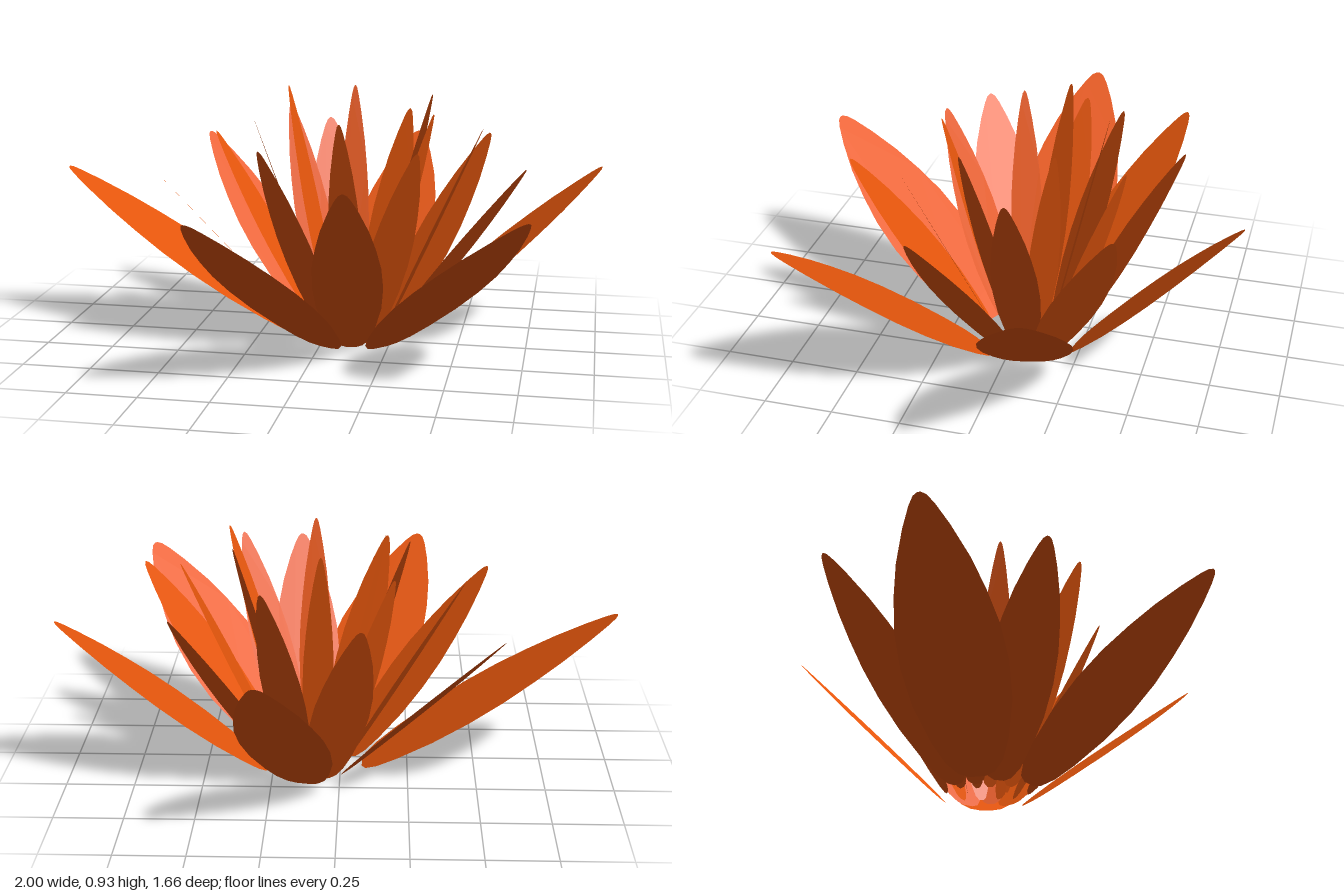
import * as THREE from 'three';

// Petal outline: [fraction of length, fraction of half width]
const OUTLINE = [
  [0, 0.15], [0.015, 0.35], [0.06, 0.55], [0.14, 0.73], [0.28, 0.93], [0.42, 1],
  [0.55, 0.96], [0.67, 0.83], [0.78, 0.66], [0.89, 0.42], [0.96, 0.23], [0.99, 0.12], [1, 0.03],
];

// Shared axis of the rings, slightly off the origin
const CENTRE = new THREE.Vector3(0.1, 0, -0.045);

// Rings from outside in; each petal is [tip x, tip y, tip z, half width]
const RINGS = [
  { name: 'outerPetal', radius: 0.18, petals: [
    [1, 0.64, -0.25, 0.165], [0.77, 0.63, 0.66, 0.185], [-0.3, 0.62, 0.83, 0.185],
    [-1, 0.61, -0.05, 0.187], [0.25, 0.65, -0.83, 0.162]] },
  { name: 'middlePetal', radius: 0.145, petals: [
    [0.57, 0.72, -0.44, 0.12], [0.74, 0.71, 0.2, 0.122], [0.17, 0.69, 0.61, 0.125],
    [-0.55, 0.67, 0.29, 0.125], [-0.56, 0.68, -0.5, 0.125], [-0.08, 0.74, -0.57, 0.11]] },
  { name: 'innerPetal', radius: 0.11, petals: [
    [0.26, 0.81, -0.42, 0.082], [0.57, 0.8, -0.08, 0.085], [0.38, 0.78, 0.35, 0.088],
    [-0.17, 0.77, 0.35, 0.088], [-0.44, 0.75, -0.13, 0.085], [-0.19, 0.83, -0.32, 0.082]] },
  { name: 'corePetal', radius: 0.07, petals: [
    [0.06, 0.91, -0.32, 0.056], [0.37, 0.9, -0.2, 0.056], [0.41, 0.88, 0.12, 0.058],
    [0.1, 0.86, 0.28, 0.061], [-0.25, 0.84, 0.07, 0.06], [-0.16, 0.93, -0.13, 0.056]] },
];

// Flat leaf shape standing along +y
function petalGeometry(length, half) {
  const right = OUTLINE.map(([t, w]) => new THREE.Vector2(w * half, t * length));
  const left = OUTLINE.map(([t, w]) => new THREE.Vector2(-w * half, t * length)).reverse();
  return new THREE.ShapeGeometry(new THREE.Shape([...right, ...left]));
}

// Petal leaning outward from its ring to the tip, its width kept level
function makePetal([x, y, z, half], radius, material) {
  const end = new THREE.Vector3(x, y, z);
  const outward = end.clone().sub(CENTRE).setY(0).normalize();
  const base = CENTRE.clone().addScaledVector(outward, radius);
  const axis = end.clone().sub(base);
  const length = axis.length();
  axis.normalize();
  const side = new THREE.Vector3(outward.z, 0, -outward.x);
  const normal = side.clone().cross(axis);
  const petal = new THREE.Mesh(petalGeometry(length, half), material);
  petal.quaternion.setFromRotationMatrix(new THREE.Matrix4().makeBasis(side, axis, normal));
  petal.position.copy(base);
  return petal;
}

export function createModel() {
  const model = new THREE.Group();
  model.name = 'flower';
  const material = new THREE.MeshStandardMaterial({ color: 0xe6560c, side: THREE.DoubleSide });
  for (const { name, radius, petals } of RINGS) {
    const ring = new THREE.Group();
    ring.name = name + 'Ring';
    petals.forEach((spec, i) => {
      const petal = makePetal(spec, radius, material);
      petal.name = name + (i + 1);
      ring.add(petal);
    });
    model.add(ring);
  }
  return model;
}
